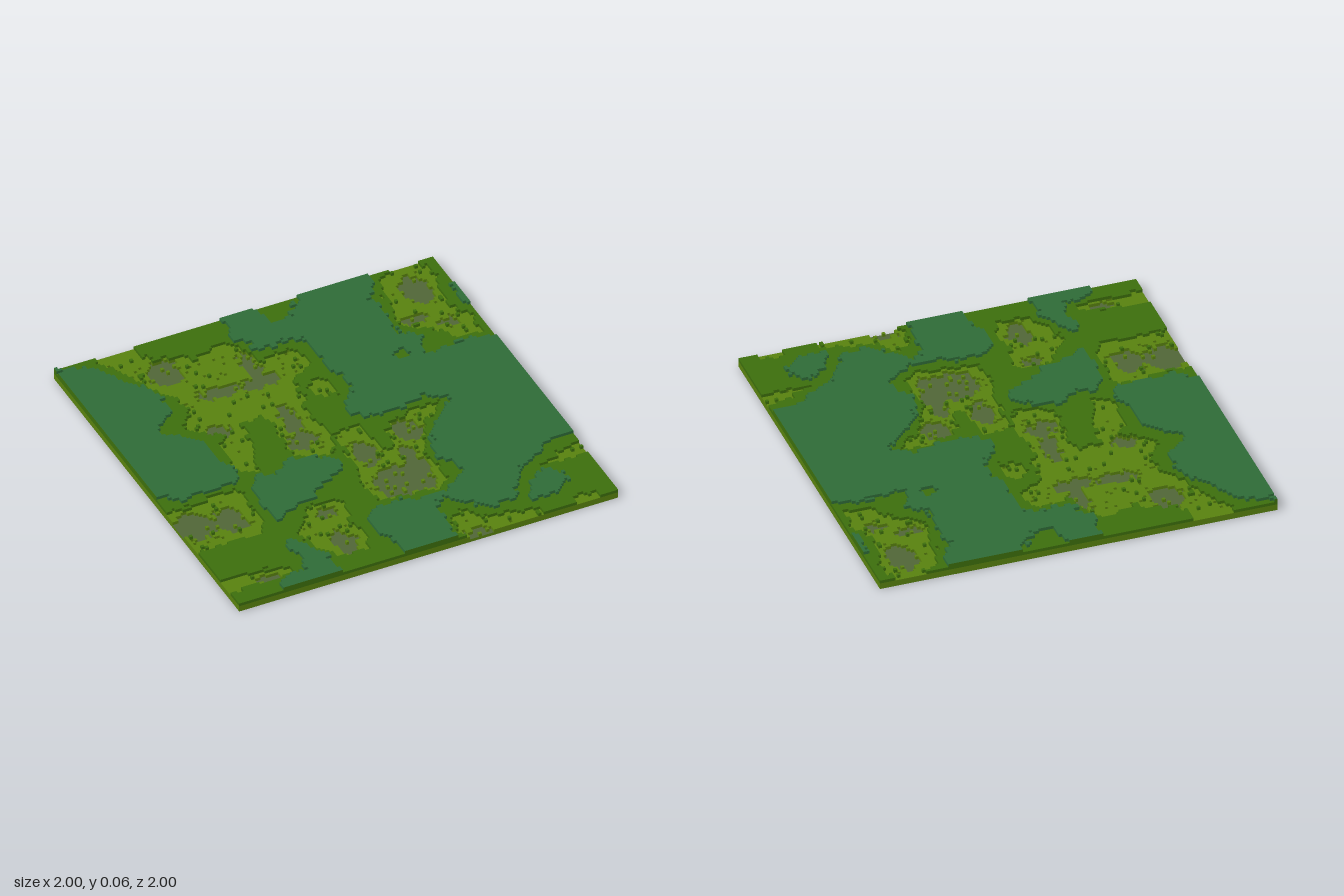
import * as THREE from 'three';

const N = 128, CELL = 2 / N, STEP = 0.0158;

// Shore outlines as x, z pairs
const mainLand = [-1, -1, -1, -0.97, -0.87, -0.95, -0.8, -0.88, -0.75, -0.78, -0.68, -0.68, -0.64, -0.55, -0.63, -0.46,
  -0.73, -0.4, -0.78, -0.32, -0.68, -0.26, -0.62, -0.2, -0.6, -0.08, -0.6, 0.02, -0.57, 0.1, -0.6, 0.17, -0.75, 0.17,
  -0.92, 0.17, -0.95, 0.12, -1.1, 0.1, -1.1, 1.1, -0.1, 1.1, -0.12, 0.95, -0.15, 0.82, -0.18, 0.75, -0.15, 0.66, 0, 0.62,
  0.1, 0.65, 0.25, 0.66, 0.32, 0.63, 0.4, 0.57, 0.4, 0.48, 0.33, 0.42, 0.36, 0.3, 0.42, 0.2, 0.47, 0.13, 0.55, 0.08,
  0.58, 0.02, 0.5, -0.05, 0.4, -0.02, 0.3, 0, 0.15, -0.03, 0.12, -0.08, 0.13, -0.18, 0.2, -0.22, 0.2, -0.36, 0.17, -0.47,
  0.18, -0.55, 0.17, -0.68, 0.08, -0.72, 0, -0.7, -0.08, -0.72, -0.08, -0.8, -0.15, -0.82, -0.12, -0.9, -0.12, -1.1, -1, -1.1];
const northIslet = [0.02, -1.1, 0.28, -1.1, 0.28, -0.97, 0.22, -0.92, 0.18, -0.86, 0.08, -0.86, 0.07, -0.95];
const eastLand = [0.68, -1.1, 0.63, -0.87, 0.58, -0.83, 0.62, -0.72, 0.58, -0.62, 0.6, -0.52, 0.68, -0.46, 0.62, -0.33,
  0.72, -0.32, 0.85, -0.35, 1.1, -0.3, 1.1, -0.56, 0.97, -0.62, 0.97, -0.75, 1.1, -0.8, 1.1, -1.1];
const southLand = [0.14, 1.1, 0.15, 0.88, 0.16, 0.75, 0.22, 0.7, 0.3, 0.78, 0.4, 0.86, 0.52, 0.85, 0.6, 0.75, 0.65, 0.66,
  0.78, 0.6, 0.85, 0.53, 1.1, 0.52, 1.1, 1.1];
const tinyIslet = [0.49, -0.39, 0.54, -0.41, 0.58, -0.37, 0.55, -0.34, 0.49, -0.35];

// Raised patches enclosed by the land
const middlePatch = [-0.56, 0.25, -0.5, 0.17, -0.4, 0.19, -0.32, 0.12, -0.2, 0.14, -0.1, 0.22, -0.13, 0.3, -0.25, 0.36,
  -0.33, 0.42, -0.48, 0.48, -0.56, 0.52, -0.58, 0.4];
const southPatch = [-0.62, 0.72, -0.57, 0.66, -0.52, 0.75, -0.47, 0.85, -0.44, 1.1, -0.8, 1.1, -0.76, 0.95, -0.6, 0.9, -0.58, 0.8];
const cornerPatch = [0.64, 0.76, 0.78, 0.7, 0.83, 0.82, 0.72, 0.9, 0.6, 0.91];

// Light green hollows
const mainHollow = [-0.84, -1.1, -0.6, -1.1, -0.55, -0.87, -0.42, -0.85, -0.35, -0.8, -0.2, -0.85, -0.12, -0.78, -0.08, -0.65,
  0.08, -0.67, 0.13, -0.6, 0.12, -0.5, 0, -0.46, -0.02, -0.32, -0.05, -0.22, -0.05, -0.1, -0.03, 0, -0.05, 0.1, -0.1, 0.17,
  -0.2, 0.14, -0.28, 0.05, -0.25, -0.1, -0.25, -0.25, -0.38, -0.25, -0.42, 0, -0.47, 0.12, -0.55, 0.08, -0.55, -0.1,
  -0.5, -0.2, -0.6, -0.28, -0.66, -0.32, -0.57, -0.42, -0.57, -0.55, -0.65, -0.67, -0.72, -0.85];
const centreHollow = [-0.03, 0.05, 0.05, -0.01, 0.13, 0.02, 0.14, 0.25, 0.2, 0.25, 0.2, 0.1, 0.3, 0.05, 0.42, 0, 0.54, 0,
  0.5, 0.07, 0.4, 0.12, 0.36, 0.25, 0.3, 0.35, 0.33, 0.55, 0.25, 0.62, 0.1, 0.59, -0.06, 0.57, -0.07, 0.42, -0.03, 0.25];
const smallHollow = [0.02, -0.33, 0.08, -0.41, 0.15, -0.38, 0.14, -0.25, 0.06, -0.25];
const westHollow = [-1.1, 0.2, -0.85, 0.22, -0.75, 0.2, -0.62, 0.2, -0.6, 0.3, -0.62, 0.45, -0.65, 0.55, -0.85, 0.56, -1.1, 0.57];
const southHollow = [-0.45, 0.55, -0.35, 0.46, -0.25, 0.45, -0.2, 0.55, -0.25, 0.65, -0.22, 0.8, -0.25, 0.88, -0.4, 0.88,
  -0.48, 0.75, -0.52, 0.65];
const southWestHollow = [-1.1, 0.78, -0.85, 0.8, -0.68, 0.83, -0.67, 0.9, -0.8, 0.9, -1.1, 0.9];
const eastHollow = [0.72, -0.97, 0.9, -1.1, 0.96, -0.88, 0.93, -0.78, 0.9, -0.65, 0.97, -0.55, 0.97, -0.38, 0.85, -0.4,
  0.75, -0.5, 0.63, -0.58, 0.66, -0.75, 0.66, -0.85];
const southEastHollow = [0.18, 1.1, 0.19, 0.85, 0.28, 0.8, 0.33, 0.9, 0.5, 0.93, 0.6, 0.96, 0.55, 1.1];
const cornerHollow = [0.75, 0.68, 0.88, 0.6, 0.98, 0.58, 1.1, 0.66, 0.88, 0.68];
const edgeHollow = [0.72, 1.1, 0.8, 0.95, 0.9, 0.96, 0.9, 1.1];

// Deepest spots: x, z, radius x, radius z
const pits = [[-0.53, -0.77, 0.09, 0.1], [-0.36, -0.53, 0.12, 0.05], [-0.13, -0.66, 0.05, 0.1], [-0.15, -0.52, 0.12, 0.06],
  [-0.5, -0.25, 0.06, 0.06], [-0.15, -0.18, 0.05, 0.13], [-0.17, -0.02, 0.1, 0.07], [0.05, 0.2, 0.06, 0.11],
  [0.12, 0.46, 0.14, 0.12], [0.24, 0.4, 0.05, 0.19], [0.32, 0.13, 0.07, 0.09], [0.83, -0.82, 0.08, 0.12],
  [0.73, -0.62, 0.08, 0.04], [0.86, -0.54, 0.05, 0.04], [-0.74, 0.38, 0.08, 0.1], [-0.92, 0.36, 0.1, 0.11],
  [-0.31, 0.53, 0.05, 0.04], [-0.33, 0.77, 0.06, 0.1], [-0.78, 0.86, 0.06, 0.03], [0.28, 0.97, 0.07, 0.03]];

const land = [mainLand, northIslet, eastLand, southLand, tinyIslet];
const patches = [middlePatch, southPatch, cornerPatch];
const hollows = [mainHollow, centreHollow, smallHollow, westHollow, southHollow, southWestHollow, eastHollow,
  southEastHollow, cornerHollow, edgeHollow];

function inside(p, x, z) {
  let hit = false;
  for (let i = 0, j = p.length - 2; i < p.length; j = i, i += 2) {
    if ((p[i + 1] > z) !== (p[j + 1] > z) &&
      x < (p[j] - p[i]) * (z - p[i + 1]) / (p[j + 1] - p[i + 1]) + p[i]) hit = !hit;
  }
  return hit;
}

// Repeatable value between 0 and 1 for a cell
function hash(i, k) {
  const s = Math.sin(i * 127.1 + k * 311.7) * 43758.5453;
  return s - Math.floor(s);
}

// Height of a column in steps, 1 to 4
function levelAt(i, k) {
  const i2 = i >> 1, k2 = k >> 1;
  const x = -1 + (i + 0.5) * CELL + (hash(i2, k2) - 0.5) * 0.03;
  const z = -1 + (k + 0.5) * CELL + (hash(i2 + 50, k2 + 90) - 0.5) * 0.03;
  const within = (p) => inside(p, x, z);
  if (!land.some(within) || patches.some(within)) return 4;
  if (!hollows.some(within)) return 3;
  const speck = hash(i + 7, k + 3);
  if (pits.some(([a, b, r, s]) => ((x - a) / r) ** 2 + ((z - b) / s) ** 2 < 1)) return speck < 0.04 ? 2 : 1;
  return speck < 0.03 ? 3 : speck > 0.98 ? 1 : 2;
}

export function createModel() {
  const group = new THREE.Group();
  const layers = [['hollowFloor', 'greyGreen', 0x506637], ['lowGrass', 'lightGreen', 0x58810e],
    ['midGrass', 'darkGreen', 0x3c6e0c], ['plateau', 'tealGreen', 0x2e6b37]];
  const faces = layers.map(() => []);
  const quad = (layer, a, b, c, d) => faces[layer].push(...a, ...b, ...c, ...a, ...c, ...d);

  const levels = [];
  for (let k = 0; k < N; k++) levels.push(Array.from({ length: N }, (_, i) => levelAt(i, k)));
  const levelOf = (i, k) => (i < 0 || k < 0 || i >= N || k >= N ? 0 : levels[k][i]);

  // Vertical faces down to a lower neighbour; the outer rim is plain green
  function wall(h, low, x0, z0, x1, z1) {
    for (let s = low; s < h; s++) {
      const y0 = s * STEP, y1 = y0 + STEP;
      const layer = low === 0 ? (s < 2 ? 1 : 2) : s;
      quad(layer, [x0, y0, z0], [x1, y0, z1], [x1, y1, z1], [x0, y1, z0]);
    }
  }

  for (let k = 0; k < N; k++) {
    const z0 = -1 + k * CELL, z1 = z0 + CELL;
    // Tops, joined into strips of equal height
    for (let i = 0, start = 0; i < N; i++) {
      const h = levels[k][i];
      if (levelOf(i + 1, k) === h) continue;
      const x0 = -1 + start * CELL, x1 = -1 + (i + 1) * CELL, y = h * STEP;
      quad(h - 1, [x0, y, z1], [x1, y, z1], [x1, y, z0], [x0, y, z0]);
      start = i + 1;
    }
    for (let i = 0; i < N; i++) {
      const h = levels[k][i], x0 = -1 + i * CELL, x1 = x0 + CELL;
      wall(h, levelOf(i, k + 1), x0, z1, x1, z1);
      wall(h, levelOf(i, k - 1), x1, z0, x0, z0);
      wall(h, levelOf(i + 1, k), x1, z1, x1, z0);
      wall(h, levelOf(i - 1, k), x0, z0, x0, z1);
    }
  }

  // Underside
  quad(0, [-1, 0, -1], [1, 0, -1], [1, 0, 1], [-1, 0, 1]);

  layers.forEach(([part, colourName, color], n) => {
    const geometry = new THREE.BufferGeometry();
    geometry.setAttribute('position', new THREE.Float32BufferAttribute(faces[n], 3));
    geometry.computeVertexNormals();
    const material = new THREE.MeshStandardMaterial({ color });
    material.name = colourName;
    const mesh = new THREE.Mesh(geometry, material);
    mesh.name = part;
    group.add(mesh);
  });
  group.name = 'terrainTile';
  return group;
}
